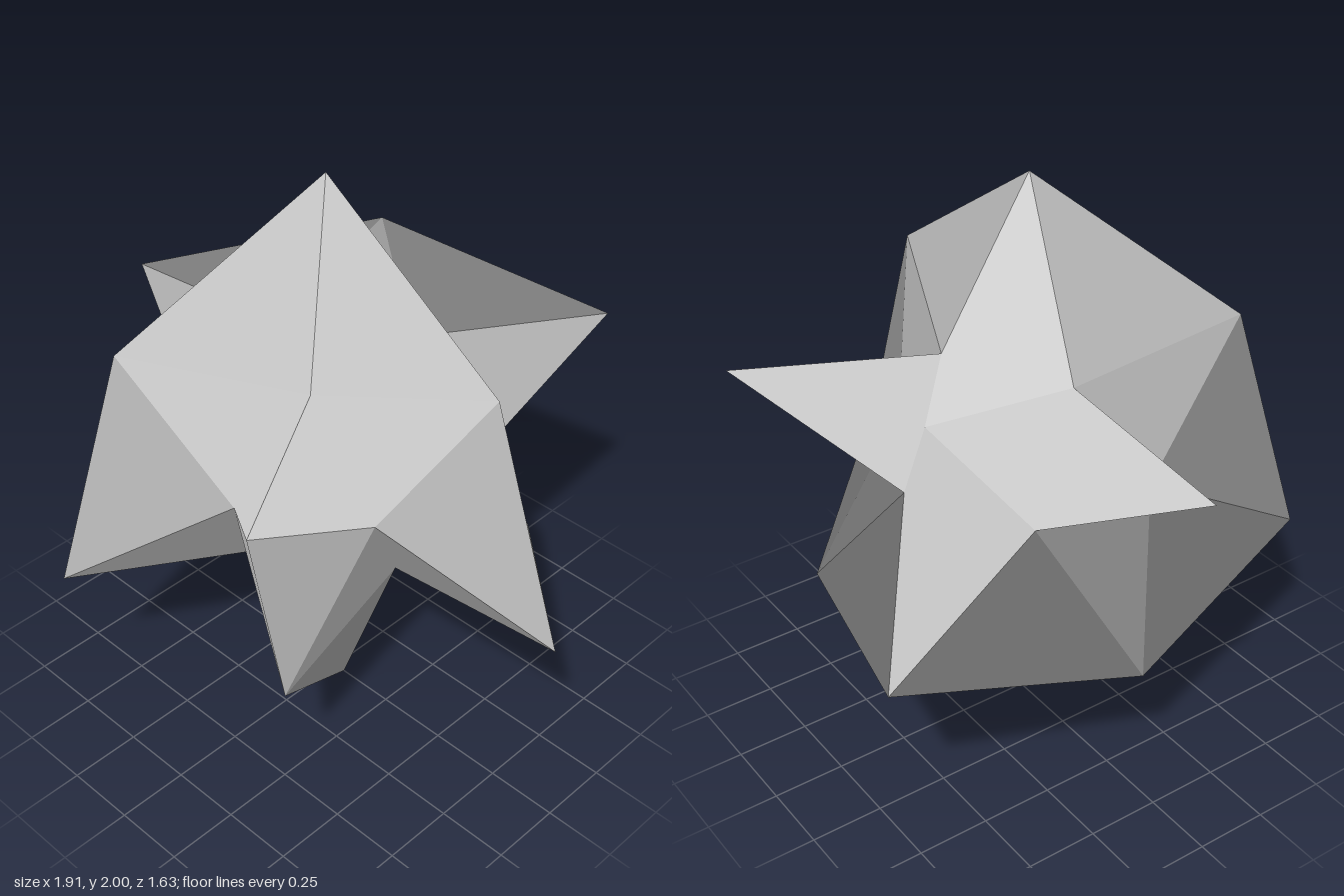
import * as THREE from 'three';

const AXIS_RADIUS = 0.846; // centre of each star
const TIP_RADIUS = 1.0;    // points shared by three stars
const PIT_RADIUS = 0.457;  // inner corners shared by two stars

// Tilted right-handed frame the solid is built on
const turn = THREE.MathUtils.degToRad(37.65);
const d = new THREE.Vector3(Math.cos(turn), Math.sin(turn), 0);
const u = new THREE.Vector3(-Math.sin(turn), Math.cos(turn), 0);
const z = new THREE.Vector3(0, 0, 1);
const i = u.clone().add(z).normalize();
const j = u.clone().sub(z).normalize();
const neg = (v) => v.clone().negate();

// Each star: outward axis, two side directions, and which pair of arms
// is folded as a ridge (the other pair is folded as a valley)
const STARS = [
  { name: 'upperLeftStar', n: d, p: j, q: i, ridge: 0 },
  { name: 'upperFrontStar', n: i, p: d, q: j, ridge: 0 },
  { name: 'upperBackStar', n: j, p: i, q: d, ridge: 1 },
  { name: 'lowerRightStar', n: neg(d), p: i, q: j, ridge: 1 },
  { name: 'lowerBackStar', n: neg(i), p: j, q: d, ridge: 1 },
  { name: 'lowerFrontStar', n: neg(j), p: d, q: i, ridge: 0 },
];

const along = (radius, ...dirs) =>
  dirs.reduce((sum, v) => sum.add(v), new THREE.Vector3()).setLength(radius);

// Four bent kites around one axis; each kite is shaded as a single facet
function starGeometry({ n, p, q, ridge }) {
  const positions = [];
  const normals = [];
  const sides = [p, q, neg(p), neg(q)];
  const centre = along(AXIS_RADIUS, n);
  for (let k = 0; k < 4; k++) {
    const a = sides[k];
    const b = sides[(k + 1) % 4];
    const pitA = along(PIT_RADIUS, n, a);
    const pitB = along(PIT_RADIUS, n, b);
    const tip = along(TIP_RADIUS, n, a, b);
    const normal = tip.clone().sub(centre).cross(pitB.clone().sub(pitA)).normalize();
    const corners = k % 2 === ridge
      ? [centre, pitA, tip, centre, tip, pitB]
      : [centre, pitA, pitB, pitA, tip, pitB];
    for (const c of corners) {
      positions.push(c.x, c.y, c.z);
      normals.push(normal.x, normal.y, normal.z);
    }
  }
  const geometry = new THREE.BufferGeometry();
  geometry.setAttribute('position', new THREE.Float32BufferAttribute(positions, 3));
  geometry.setAttribute('normal', new THREE.Float32BufferAttribute(normals, 3));
  return geometry;
}

export function createModel() {
  const group = new THREE.Group();
  group.name = 'starPolyhedron';
  const material = new THREE.MeshStandardMaterial({ color: 0xcccccc });
  for (const star of STARS) {
    const mesh = new THREE.Mesh(starGeometry(star), material);
    mesh.name = star.name;
    mesh.position.y = 1;
    group.add(mesh);
  }
  return group;
}
